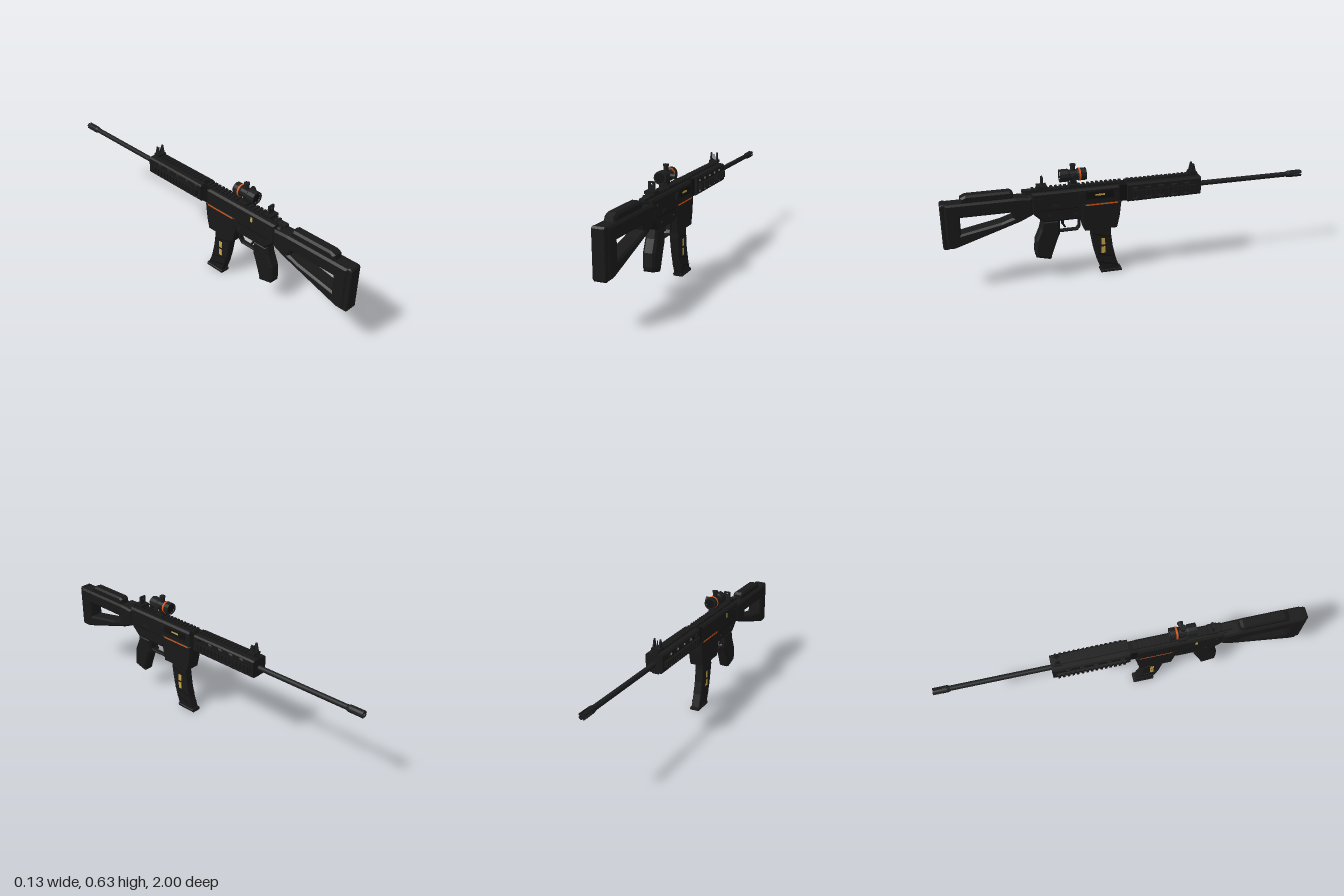
import * as THREE from 'three';

const mat = (name, color) => Object.assign(new THREE.MeshStandardMaterial({ color }), { name });

export function createModel() {
  const body = mat('charcoal body', 0x191919);
  const metal = mat('gunmetal', 0x1c1d1e);
  const dark = mat('black trim', 0x111112);
  const gold = mat('brass', 0xc6a545);
  const orange = mat('orange accent', 0xdc5410);
  const root = new THREE.Group();

  const add = (name, geo, m, x = 0, y = 0, z = 0, parent = root) => {
    const mesh = new THREE.Mesh(geo, m);
    mesh.name = name;
    mesh.position.set(x, y, z);
    parent.add(mesh);
    return mesh;
  };
  const box = (name, w, h, d, m, x, y, z, parent) =>
    add(name, new THREE.BoxGeometry(w, h, d), m, x, y, z, parent);
  const cylZ = (name, r0, r1, z0, z1, m, y, seg = 16, parent) => // r0 at z0 (rear), r1 at z1 (muzzle side)
    add(name, new THREE.CylinderGeometry(r1, r0, z0 - z1, seg).rotateX(-Math.PI / 2), m, 0, y, (z0 + z1) / 2, parent);

  // Side profile given as [z, y] points, extruded across x with bevelled edges.
  // Outline and holes are listed in the same turning direction; holes are reversed here.
  const profileGeo = (pts, width, bevel = 0.006, holes = []) => {
    const v = a => a.map(([z, y]) => new THREE.Vector2(-z, y));
    const shape = new THREE.Shape(v(pts));
    holes.forEach(h => shape.holes.push(new THREE.Path(v(h).reverse())));
    const depth = width - 2 * bevel;
    return new THREE.ExtrudeGeometry(shape, {
      depth, bevelEnabled: bevel > 0, bevelThickness: bevel, bevelSize: bevel, bevelOffset: -bevel, bevelSegments: 1,
    }).translate(0, 0, -depth / 2).rotateY(Math.PI / 2);
  };
  const profile = (name, pts, width, m, bevel, holes) => add(name, profileGeo(pts, width, bevel, holes), m);

  // Toothed accessory rail; local +y points away from the surface
  const rail = (name, x, y, z0, z1, w, h, angle) => {
    const g = new THREE.Group();
    g.name = name;
    g.position.set(x, y, 0);
    g.rotation.z = angle;
    root.add(g);
    const len = z0 - z1, n = Math.round(len / 0.024), step = len / n;
    box('railBase', w * 0.8, h * 0.6, len, body, 0, h * 0.3, (z0 + z1) / 2, g);
    for (let i = 0; i < n; i++)
      box('railTooth', w, h * 0.5, step * 0.55, body, 0, h * 0.75, z0 - (i + 0.5) * step, g);
  };

  // Stock with triangular opening, butt pad and cheek rest
  profile('stock', [[0.98, 0.49], [0.62, 0.49], [0.535, 0.485], [0.535, 0.39], [0.6, 0.36], [0.94, 0.25], [0.98, 0.25]],
    0.086, body, 0.01, [[[0.905, 0.415], [0.65, 0.415], [0.64, 0.385], [0.7, 0.365], [0.905, 0.325]]]);
  profile('buttPad', [[1, 0.485], [0.992, 0.494], [0.975, 0.494], [0.975, 0.246], [0.992, 0.246], [1, 0.255]], 0.07, body, 0.006);
  profile('cheekRest', [[0.9, 0.485], [0.895, 0.515], [0.87, 0.527], [0.645, 0.527], [0.63, 0.515], [0.63, 0.485]], 0.06, body, 0.01);

  // Receiver, magazine well and collar
  profile('receiver', [[0.54, 0.505], [0.067, 0.505], [0.067, 0.36], [0.27, 0.36], [0.29, 0.338], [0.48, 0.338], [0.53, 0.385], [0.54, 0.4]],
    0.08, body, 0.01);
  profile('magazineWell', [[0.28, 0.42], [0.064, 0.42], [0.075, 0.33], [0.09, 0.268], [0.265, 0.268], [0.28, 0.345]], 0.084, body, 0.003);
  box('receiverCollar', 0.07, 0.09, 0.05, dark, 0, 0.46, 0.055);
  box('chargingHandle', 0.03, 0.014, 0.09, metal, 0, 0.511, 0.54);
  cylZ('stockJoint', 0.03, 0.03, 0.56, 0.52, dark, 0.465);
  rail('topRail', 0, 0.503, 0.54, 0.05, 0.042, 0.019, 0);

  // Receiver side details
  for (const s of [1, -1]) {
    box('accentStripe', 0.002, 0.007, 0.178, orange, s * 0.0418, 0.4135, 0.172);
    box('seamLine', 0.003, 0.005, 0.2, dark, s * 0.0395, 0.408, 0.4);
    for (const [y, z] of [[0.375, 0.45], [0.375, 0.31], [0.47, 0.5]])
      add('pin', new THREE.CylinderGeometry(0.007, 0.007, 0.003, 10).rotateZ(Math.PI / 2), metal, s * 0.041, y, z);
  }
  box('ejectionPort', 0.004, 0.04, 0.15, dark, 0.0395, 0.465, 0.18);
  box('bolt', 0.003, 0.009, 0.05, gold, 0.0415, 0.467, 0.18);
  box('portDeflector', 0.012, 0.035, 0.03, body, 0.041, 0.465, 0.275);
  box('selectorLever', 0.006, 0.012, 0.04, metal, 0.04, 0.43, 0.42);
  box('selectorMark', 0.003, 0.026, 0.012, gold, -0.041, 0.47, 0.39);

  // Grip, trigger and guard
  profile('grip', [[0.49, 0.345], [0.395, 0.345], [0.398, 0.26], [0.41, 0.235], [0.45, 0.122], [0.528, 0.143], [0.533, 0.165], [0.528, 0.235], [0.5, 0.3]],
    0.066, body, 0.012);
  profile('gripCap', [[0.53, 0.15], [0.528, 0.14], [0.455, 0.121], [0.445, 0.13]], 0.056, dark, 0.003);
  profile('triggerGuard', [[0.41, 0.345], [0.28, 0.345], [0.283, 0.285], [0.3, 0.264], [0.395, 0.264], [0.41, 0.28]], 0.026, body, 0.002,
    [[[0.4, 0.338], [0.292, 0.338], [0.295, 0.29], [0.305, 0.275], [0.39, 0.275], [0.4, 0.285]]]);
  profile('trigger', [[0.39, 0.345], [0.37, 0.345], [0.372, 0.31], [0.36, 0.288], [0.367, 0.285], [0.384, 0.308]], 0.014, dark, 0.002);

  // Curved magazine with ribs, brass windows and base plate
  profile('magazine', [[0.228, 0.3], [0.12, 0.3], [0.119, 0.23], [0.11, 0.155], [0.095, 0.085], [0.07, 0.008],
    [0.17, 0.008], [0.194, 0.075], [0.212, 0.145], [0.225, 0.22]], 0.05, body, 0.005);
  profile('magazineBase', [[0.178, 0.016], [0.062, 0.016], [0.06, 0], [0.176, 0]], 0.056, body, 0.003);
  for (const [y, z] of [[0.053, 0.134], [0.105, 0.151], [0.225, 0.172]])
    box('magazineRib', 0.054, 0.008, 0.1, dark, 0, y, z).rotation.x = -0.25;
  for (const s of [1, -1])
    for (const y of [0.188, 0.138])
      box('roundWindow', 0.003, 0.038, 0.02, gold, s * 0.0252, y, 0.163);

  // Vented handguard: chamfered box section with two rows of slots in each side
  const cy = 0.461, z0 = 0.032, z1 = -0.38, mid = (z0 + z1) / 2, len = z0 - z1;
  const section = new THREE.Shape([[0.04, 0.049], [0.048, 0.041], [0.048, -0.041], [0.04, -0.049],
    [-0.04, -0.049], [-0.048, -0.041], [-0.048, 0.041], [-0.04, 0.049]].map(p => new THREE.Vector2(...p)));
  for (const z of [z0 - 0.03, z1])
    add('handguardCap', new THREE.ExtrudeGeometry(section, { depth: 0.03, bevelEnabled: false }), body, 0, cy, z);
  const slots = [];
  for (let i = 0; i < 5; i++)
    for (const y of [0.0285, -0.0285]) {
      const c = 0.165 - i * 0.072;
      slots.push([[c + 0.018, y], [c + 0.011, y + 0.009], [c - 0.011, y + 0.009], [c - 0.018, y], [c - 0.011, y - 0.009], [c + 0.011, y - 0.009]]);
    }
  const sideGeo = profileGeo([[len / 2, 0.041], [-len / 2, 0.041], [-len / 2, -0.041], [len / 2, -0.041]], 0.008, 0, slots);
  for (const s of [1, -1]) {
    add('handguardSide', sideGeo, body, s * 0.044, cy, mid);
    box('handguardFace', 0.08, 0.008, len, body, 0, cy + s * 0.045, mid);
    for (const t of [1, -1]) // chamfer strips along the four edges
      box('handguardEdge', 0.0113, 0.006, len, body, s * 0.0419, cy + t * 0.0429, mid).rotation.z = -s * t * Math.PI / 4;
    rail('sideRail', s * 0.047, 0.457, 0.01, -0.36, 0.038, 0.016, -s * Math.PI / 2);
  }
  rail('handguardTopRail', 0, 0.508, 0.03, -0.375, 0.036, 0.015, 0);
  rail('handguardLowerRail', 0, 0.414, 0.03, -0.375, 0.036, 0.013, Math.PI);

  // Barrel and pronged muzzle
  const by = 0.456;
  cylZ('barrel', 0.014, 0.014, 0.06, -0.93, metal, by);
  cylZ('muzzleCollar', 0.015, 0.019, -0.91, -0.925, metal, by);
  cylZ('muzzleSleeve', 0.019, 0.019, -0.925, -0.95, metal, by);
  for (let i = 0; i < 4; i++) {
    const a = i * Math.PI / 2 + 0.22, b = a + Math.PI / 2 - 0.44;
    const prong = new THREE.Shape();
    prong.absarc(0, 0, 0.019, a, b, false);
    prong.absarc(0, 0, 0.01, b, a, true);
    add('muzzleProng', new THREE.ExtrudeGeometry(prong, { depth: 0.052, bevelEnabled: false, curveSegments: 5 }), metal, 0, by, -1);
  }

  // Optic with turrets and orange ring
  const optic = new THREE.Group();
  optic.name = 'optic';
  optic.position.z = -0.004;
  root.add(optic);
  const oy = 0.576;
  const tube = [[0.026, 0.385], [0.026, 0.39], [0.034, 0.39], [0.034, 0.345], [0.028, 0.338], [0.028, 0.297], [0.033, 0.292],
    [0.033, 0.25], [0.026, 0.25], [0.026, 0.255]].map(([r, z]) => new THREE.Vector2(r, -z));
  const tubeGeo = new THREE.LatheGeometry(tube, 12).rotateX(-Math.PI / 2).toNonIndexed();
  tubeGeo.computeVertexNormals();
  add('opticTube', tubeGeo, metal, 0, oy, 0, optic);
  cylZ('opticLenses', 0.0265, 0.0265, 0.384, 0.256, dark, oy, 12, optic);
  cylZ('opticRing', 0.0345, 0.0345, 0.29, 0.28, orange, oy, 12, optic);
  add('topTurret', new THREE.CylinderGeometry(0.013, 0.013, 0.05, 12), metal, 0, 0.605, 0.318, optic);
  add('topTurretCap', new THREE.CylinderGeometry(0.016, 0.016, 0.008, 12), metal, 0, 0.63, 0.318, optic);
  add('sideTurret', new THREE.CylinderGeometry(0.013, 0.013, 0.04, 12).rotateZ(Math.PI / 2), metal, 0.033, oy, 0.318, optic);
  add('sideTurretCap', new THREE.CylinderGeometry(0.016, 0.016, 0.008, 12).rotateZ(Math.PI / 2), metal, 0.05, oy, 0.318, optic);
  box('opticPost', 0.03, 0.04, 0.028, body, 0, 0.54, 0.318, optic);
  box('opticClamp', 0.058, 0.016, 0.045, body, 0, 0.522, 0.318, optic);

  // Rear aperture sight
  box('rearSightBase', 0.056, 0.014, 0.05, body, 0, 0.529, 0.48);
  const plate = new THREE.Shape([[-0.018, 0], [0.018, 0], [0.018, 0.045], [-0.018, 0.045]].map(p => new THREE.Vector2(...p)));
  plate.holes.push(new THREE.Path().absarc(0, 0.033, 0.006, 0, Math.PI * 2, true));
  add('rearSightPlate', new THREE.ExtrudeGeometry(plate, { depth: 0.01, bevelEnabled: false, curveSegments: 4 }), metal, 0, 0.535, 0.473);

  // Front sight with two tapered wings and a post
  box('frontSightBase', 0.05, 0.014, 0.04, body, 0, 0.527, -0.343);
  for (const s of [1, -1])
    add('frontSightWing', profileGeo([[-0.338, 0.578], [-0.348, 0.578], [-0.36, 0.53], [-0.327, 0.53]], 0.007, 0.001), metal, s * 0.017, 0, 0);
  add('frontSightPost', new THREE.CylinderGeometry(0.003, 0.004, 0.035, 8), metal, 0, 0.552, -0.343);

  return root;
}
